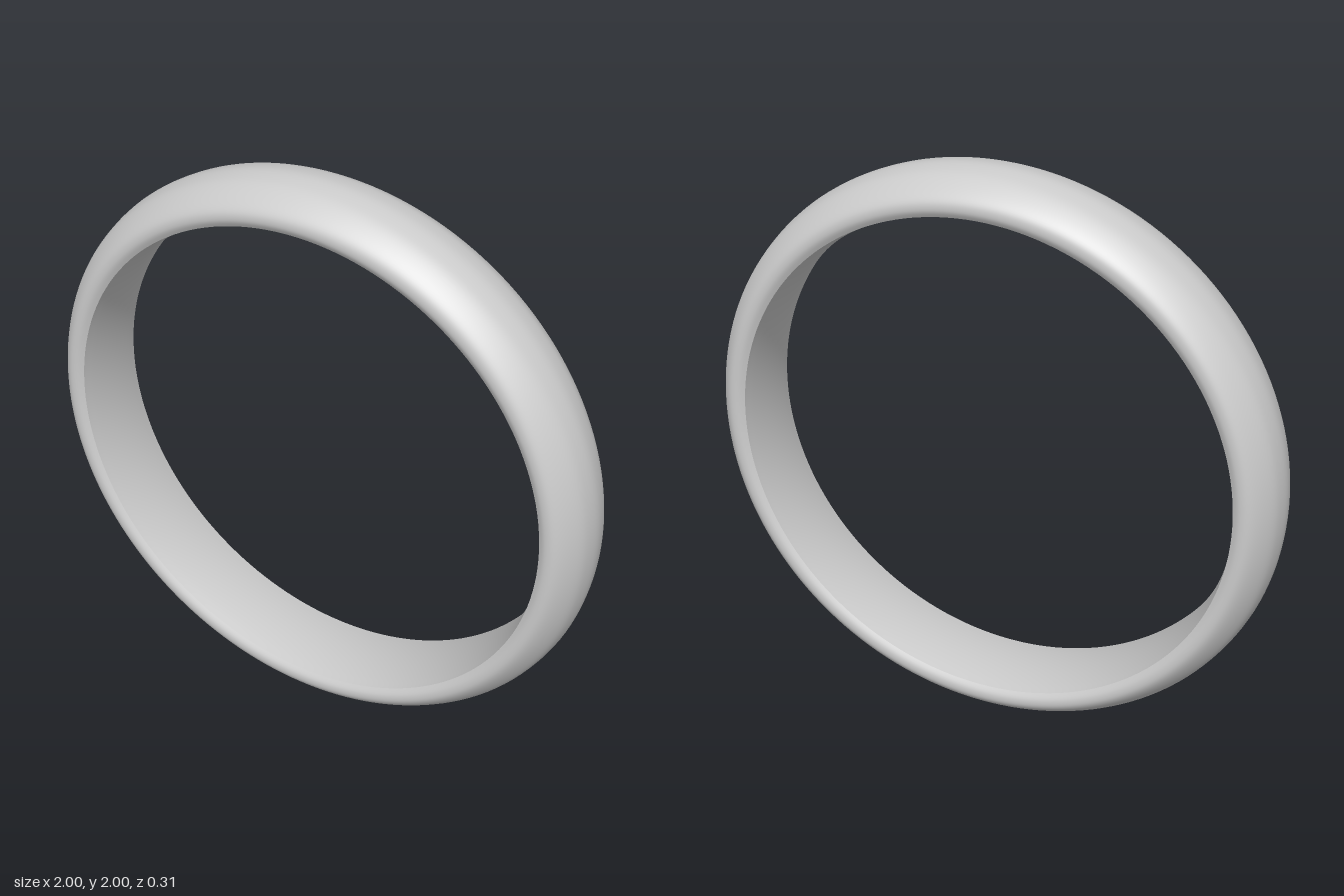
import * as THREE from 'three';

// Revolve a smooth [radius, z] profile about the z axis, lifted onto y = 0
function revolve(name, points, material) {
  const curve = new THREE.SplineCurve(points.map(([r, z]) => new THREE.Vector2(r, z)));
  const geometry = new THREE.LatheGeometry(curve.getPoints(48), 160);
  geometry.rotateX(Math.PI / 2);
  const mesh = new THREE.Mesh(geometry, material);
  mesh.name = name;
  mesh.position.y = 1;
  return mesh;
}

export function createModel() {
  const group = new THREE.Group();
  group.name = 'ringBand';
  const material = new THREE.MeshStandardMaterial({ color: 0xcccccc });

  // Domed outside with rounded rims, from the crown to the inner crease
  const half = [[1, 0], [0.993, 0.05], [0.982, 0.082], [0.963, 0.113], [0.943, 0.137],
    [0.925, 0.151], [0.908, 0.156], [0.889, 0.154], [0.87, 0.143]];
  const back = half.slice(1).reverse().map(([r, z]) => [r, -z]);
  group.add(revolve('outerBand', [...back, ...half], material));

  // Gently bulging inside, meeting the rims at a sharp crease
  const inner = [];
  for (let i = 0; i <= 8; i++) {
    const t = 1 - i / 4;
    inner.push([0.855 + 0.015 * t * t, 0.143 * t]);
  }
  group.add(revolve('innerBand', inner, material));
  return group;
}
